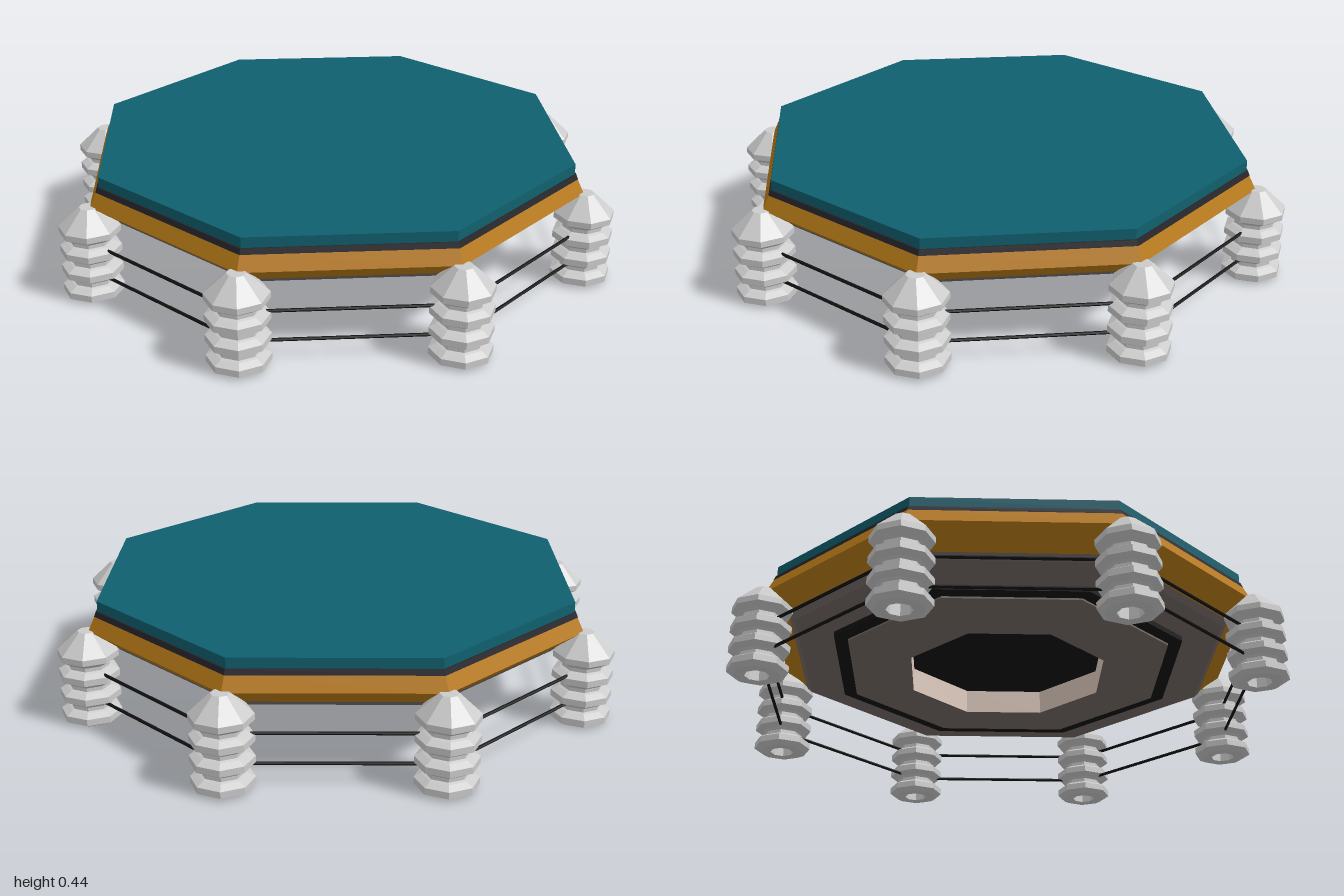
import * as THREE from 'three';

const EIGHTH = Math.PI / 4;
const APOTHEM = Math.cos(Math.PI / 8);

function material(color) {
  return new THREE.MeshStandardMaterial({ color, flatShading: true });
}

function turned(name, profile, mat, phiStart = 0) {
  const points = profile.map(([r, y]) => new THREE.Vector2(r, y));
  const mesh = new THREE.Mesh(new THREE.LatheGeometry(points, 8, phiStart), mat);
  mesh.name = name;
  return mesh;
}

// Octagonal ring with flat sides towards the axes; profile is [apothem, y]
function octagon(name, profile, mat) {
  return turned(name, profile.map(([a, y]) => [a / APOTHEM, y]), mat, Math.PI / 8);
}

export function createModel() {
  const model = new THREE.Group();
  model.name = 'octagonalPlatform';
  const teal = material(0x10606f);
  const dark = material(0x24242a);
  const gold = material(0xb87a18);
  const hull = material(0x766c66);
  const pale = material(0xdcc8bc);
  const black = material(0x121212);
  const grey = material(0xcccccc);

  // Deck, trim and bevelled rim
  model.add(
    octagon('deck', [[0.85, 0.412], [0.85, 0.45], [0, 0.45]], teal),
    octagon('deckTrim', [[0.862, 0.393], [0.855, 0.412], [0.84, 0.412]], dark),
    octagon('rim', [[0.8, 0.27], [0.885, 0.34], [0.86, 0.395], [0.84, 0.395]], gold),
  );

  // Stepped underside with a recessed centre
  model.add(
    octagon('outerUnderside', [[0.6, 0.234], [0.66, 0.234], [0.78, 0.25], [0.8, 0.27]], hull),
    octagon('undersideBand', [[0.58, 0.215], [0.64, 0.215], [0.64, 0.234]], black),
    octagon('innerUnderside', [[0.36, 0.187], [0.48, 0.187], [0.59, 0.208], [0.59, 0.217]], hull),
    octagon('recessWall', [[0.36, 0.28], [0.36, 0.187]], pale),
    octagon('recessCeiling', [[0, 0.28], [0.36, 0.28]], black),
  );

  // Ribbed post profile: hollow foot, stacked collars, conical cap
  const post = [[0.045, 0.05], [0.045, 0.005]];
  const collars = [0.03, 0.107, 0.184];
  for (const y of collars) {
    post.push([0.085, y - 0.025], [0.11, y - 0.012], [0.11, y + 0.012], [0.085, y + 0.026], [0.075, y + 0.03], [0.075, y + 0.044]);
  }
  post.push([0.085, 0.235], [0.11, 0.25], [0.11, 0.272], [0.033, 0.345], [0, 0.345]);

  // Posts at the eight corners, with two rails along each side
  const corner = 0.89 / APOTHEM;
  const railLength = 2 * 0.89 * Math.tan(Math.PI / 8);
  for (let i = 0; i < 8; i++) {
    const angle = (i + 0.5) * EIGHTH;
    const leg = new THREE.Group();
    leg.name = 'post' + (i + 1);
    leg.add(
      turned('postBody', post, grey),
      turned('postSocket', [[0, 0.05], [0.045, 0.05]], dark),
    );
    leg.position.set(corner * Math.sin(angle), 0, corner * Math.cos(angle));
    model.add(leg);

    const side = new THREE.Group();
    side.name = 'railPair' + (i + 1);
    for (const y of [0.09, 0.2]) {
      const rail = new THREE.Mesh(new THREE.CylinderGeometry(0.006, 0.006, railLength, 6), black);
      rail.name = 'rail';
      rail.rotation.z = Math.PI / 2;
      rail.position.set(0, y, 0.89);
      side.add(rail);
    }
    side.rotation.y = i * EIGHTH;
    model.add(side);
  }
  return model;
}
